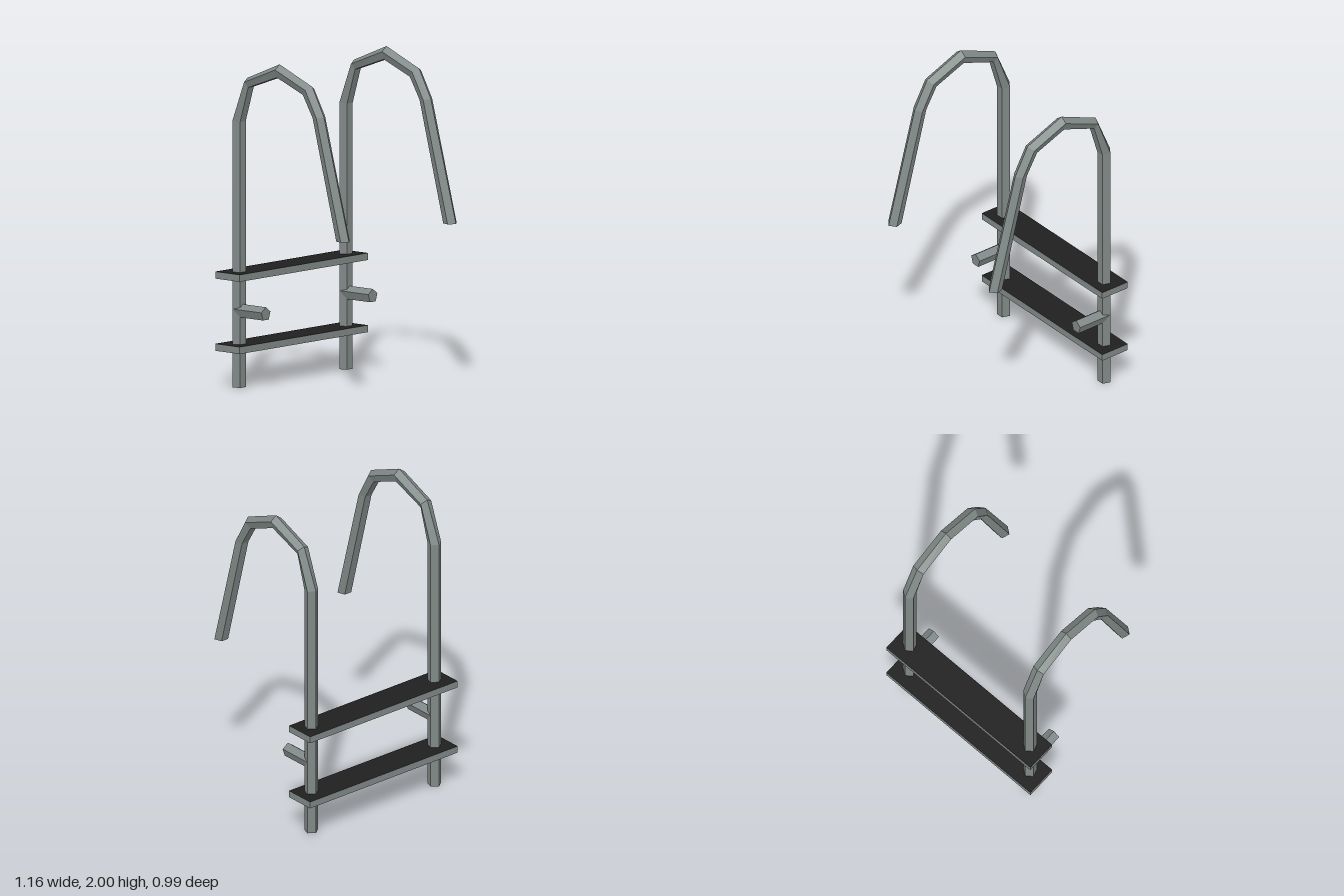
import * as THREE from 'three';

const steel = new THREE.MeshStandardMaterial({ color: 0x808987 });
steel.name = 'steel grey';
const grip = new THREE.MeshStandardMaterial({ color: 0x1f1f1f });
grip.name = 'grip black';

// Half widths and depths (0 = outer ridge, 1 = inner flat) of a five-sided tube
const SECTION = [[0, 0], [0.041, 0.382], [0.0255, 1], [-0.0255, 1], [-0.041, 0.382]];

// Lofts the five-sided section along stations [outerZ, outerY, innerZ, innerY]
function pentagonTube(stations) {
  const rings = stations.map(([oz, oy, iz, iy]) =>
    SECTION.map(([x, t]) => [x, oy + (iy - oy) * t, oz + (iz - oz) * t]));
  const pos = [];
  const tri = (a, b, c) => pos.push(...a, ...b, ...c);
  for (let i = 0; i < rings.length - 1; i++) {
    for (let k = 0; k < 5; k++) {
      const n = (k + 1) % 5;
      const a = rings[i][k], b = rings[i][n], c = rings[i + 1][n], d = rings[i + 1][k];
      tri(a, d, c);
      tri(a, c, b);
    }
  }
  // End caps
  const first = rings[0], last = rings[rings.length - 1];
  for (let k = 1; k < 4; k++) {
    tri(first[0], first[k], first[k + 1]);
    tri(last[0], last[k + 1], last[k]);
  }
  const geometry = new THREE.BufferGeometry();
  geometry.setAttribute('position', new THREE.Float32BufferAttribute(pos, 3));
  geometry.computeVertexNormals();
  return geometry;
}

export function createModel() {
  const model = new THREE.Group();
  model.name = 'poolLadder';

  // Upright post that arches over into a sloping handrail
  const railGeometry = pentagonTube([
    [-0.436, 0, -0.359, 0],
    [-0.436, 1.632, -0.359, 1.622],
    [-0.326, 1.89, -0.294, 1.838],
    [-0.063, 2, -0.063, 1.922],
    [0.2, 1.89, 0.147, 1.838],
    [0.295, 1.713, 0.226, 1.705],
    [0.497, 0.972, 0.417, 0.972],
  ]);
  // Short wall stand-off pointing forward
  const standoffGeometry = pentagonTube([
    [-0.4, 0.508, -0.4, 0.43],
    [-0.174, 0.508, -0.174, 0.43],
  ]);

  for (const side of [-1, 1]) {
    const name = side < 0 ? 'right' : 'left';
    const rail = new THREE.Mesh(railGeometry, steel);
    rail.name = name + 'Handrail';
    const standoff = new THREE.Mesh(standoffGeometry, steel);
    standoff.name = name + 'Standoff';
    rail.position.x = standoff.position.x = side * 0.484;
    model.add(rail, standoff);
  }

  // Treads: steel edges with black upper and lower faces
  const treadGeometry = new THREE.BoxGeometry(1.16, 0.043, 0.197);
  const treadMaterials = [steel, steel, grip, grip, steel, steel];
  [['lowerTread', 0.242], ['upperTread', 0.682]].forEach(([name, y]) => {
    const tread = new THREE.Mesh(treadGeometry, treadMaterials);
    tread.name = name;
    tread.position.set(0, y, -0.398);
    model.add(tread);
  });

  return model;
}
